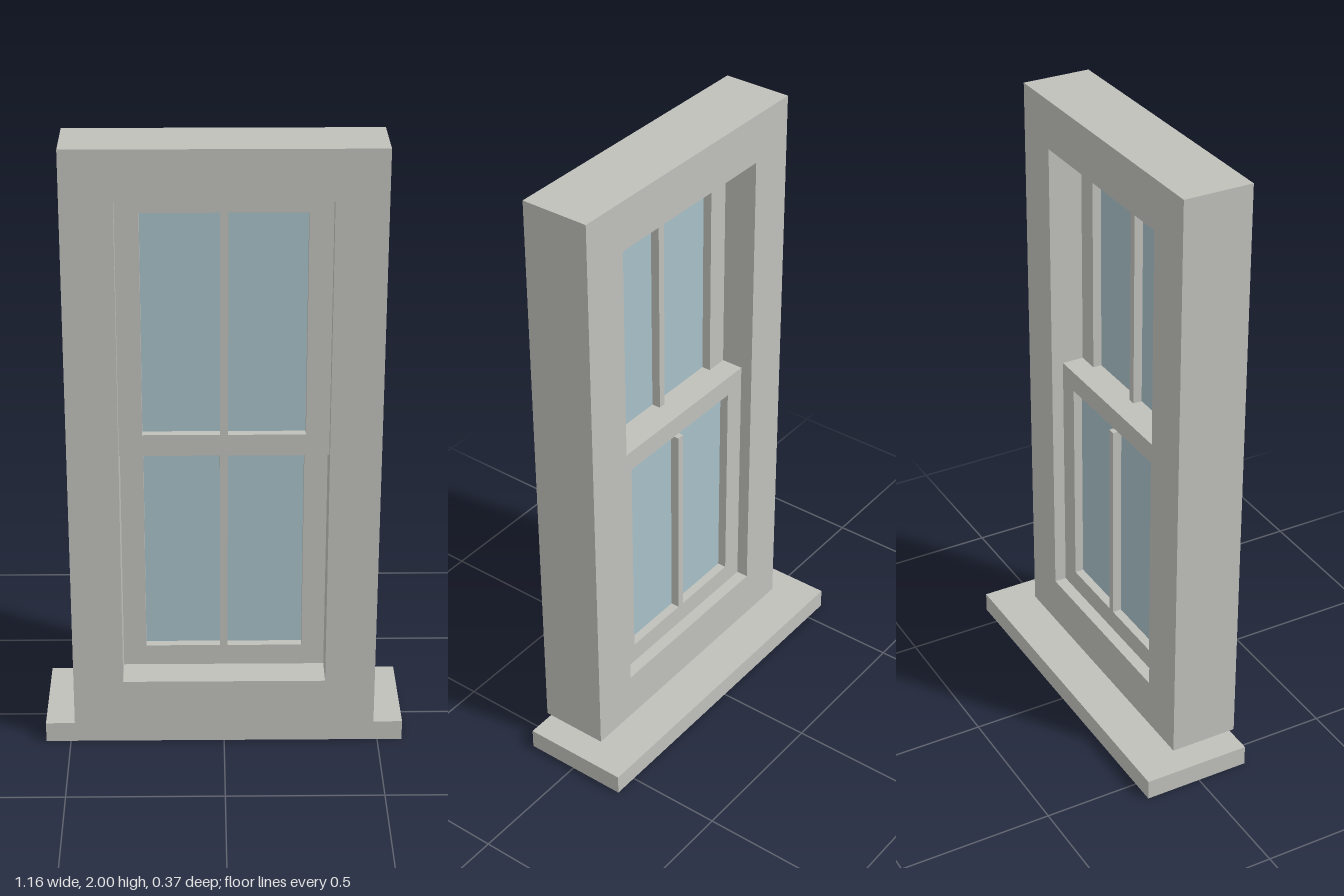
import * as THREE from 'three';

const stone = new THREE.MeshStandardMaterial({ color: 0xc0c0bb });
stone.name = 'warm grey';
const glass = new THREE.MeshStandardMaterial({ color: 0xa7c1c8 });
glass.name = 'pale blue glass';

// Box given by its lower and upper limits on each axis
function box(name, material, [x0, x1], [y0, y1], [z0, z1]) {
  const mesh = new THREE.Mesh(new THREE.BoxGeometry(x1 - x0, y1 - y0, z1 - z0), material);
  mesh.position.set((x0 + x1) / 2, (y0 + y1) / 2, (z0 + z1) / 2);
  mesh.name = name;
  return mesh;
}

function trace(path, halfWidth, y0, y1) {
  path.moveTo(-halfWidth, y0);
  path.lineTo(halfWidth, y0);
  path.lineTo(halfWidth, y1);
  path.lineTo(-halfWidth, y1);
  path.closePath();
  return path;
}

// Rectangular surround with one rectangular opening
function surround(name, outer, inner, [z0, z1]) {
  const shape = trace(new THREE.Shape(), ...outer);
  shape.holes.push(trace(new THREE.Path(), ...inner));
  const geometry = new THREE.ExtrudeGeometry(shape, { depth: z1 - z0, bevelEnabled: false });
  const mesh = new THREE.Mesh(geometry, stone);
  mesh.position.z = z0;
  mesh.name = name;
  return mesh;
}

// Sash: surround, central glazing bar and two panes
function sash(name, [y0, y1], [open0, open1], glassTop, barTop, [z0, z1]) {
  const group = new THREE.Group();
  group.name = name;
  const mid = (z0 + z1) / 2;
  const bar = 0.0125;
  group.add(surround('sashFrame', [0.325, y0, y1], [0.252, open0, open1], [z0, z1]));
  group.add(box('glazingBar', stone, [-bar, bar], [open0, barTop], [z0, z1]));
  for (const [side, x0, x1] of [['right', -0.252, -bar], ['left', bar, 0.252]]) {
    group.add(box(side + 'Pane', glass, [x0, x1], [open0, glassTop], [mid - 0.007, mid + 0.007]));
  }
  return group;
}

export function createModel() {
  const model = new THREE.Group();
  model.name = 'sashWindow';
  model.add(box('sill', stone, [-0.58, 0.58], [0, 0.067], [-0.186, 0.17]));
  model.add(surround('outerFrame', [0.485, 0.067, 2], [0.325, 0.23, 1.84], [-0.04, 0.186]));
  // The lower sash sits behind the upper one, its glass stopping short of the top rail
  model.add(sash('upperSash', [1.01, 1.84], [1.08, 1.795], 1.795, 1.795, [0.073, 0.146]));
  model.add(sash('lowerSash', [0.23, 1.08], [0.3, 1.012], 0.985, 0.992, [0, 0.073]));
  return model;
}
